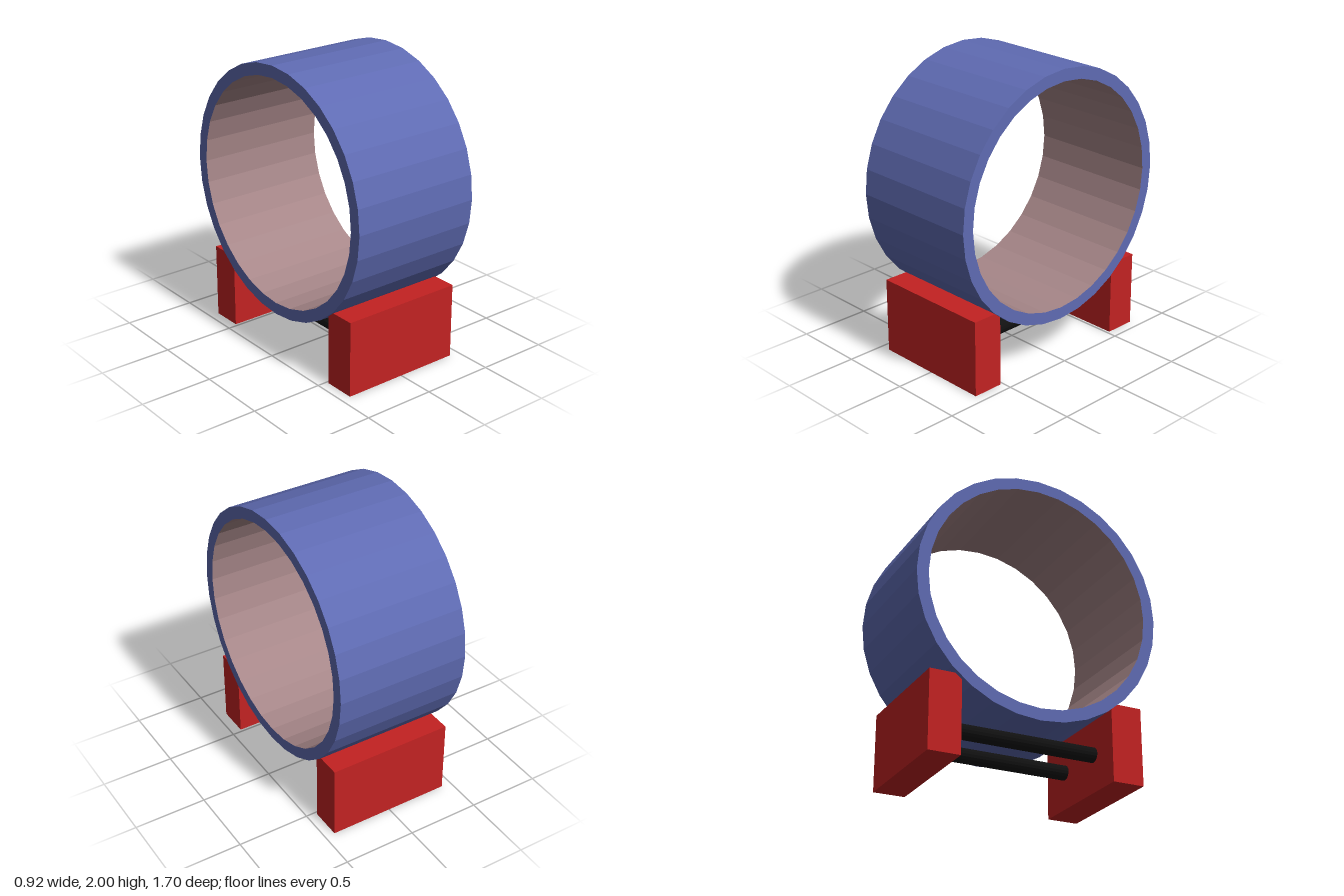
import * as THREE from 'three';

const OUTER = 0.85, INNER = 0.77, HALF_WIDTH = 0.46, SIDES = 32;

function material(color) {
  return new THREE.MeshStandardMaterial({ color, flatShading: true });
}

function addMesh(parent, name, geometry, mat, x, y, z) {
  const mesh = new THREE.Mesh(geometry, mat);
  mesh.name = name;
  mesh.position.set(x, y, z);
  parent.add(mesh);
  return mesh;
}

// Revolved surface from [radius, height] pairs
function lathe(points) {
  return new THREE.LatheGeometry(points.map(([r, h]) => new THREE.Vector2(r, h)), SIDES);
}

export function createModel() {
  const model = new THREE.Group();
  model.name = 'ringOnStand';
  const blue = material(0x5f6bb3);
  const lining = material(0xa78789);
  const red = material(0xc32222);
  const black = material(0x111111);

  // Ring lying on its side: outer wall with end rims, and a lining of another colour
  const ring = new THREE.Group();
  ring.name = 'ring';
  ring.position.y = 2 - OUTER;
  ring.rotation.z = Math.PI / 2;
  model.add(ring);
  addMesh(ring, 'ringShell', lathe([
    [INNER, -HALF_WIDTH], [OUTER, -HALF_WIDTH], [OUTER, HALF_WIDTH], [INNER, HALF_WIDTH],
  ]), blue, 0, 0, 0);
  addMesh(ring, 'ringLining', lathe([[INNER, HALF_WIDTH], [INNER, -HALF_WIDTH]]), lining, 0, 0, 0);

  // Support blocks at front and back, joined by two rods
  const block = new THREE.BoxGeometry(0.86, 0.52, 0.215);
  const rod = new THREE.CylinderGeometry(0.05, 0.05, 1.06, 16).rotateX(Math.PI / 2);
  for (const s of [1, -1]) {
    addMesh(model, s > 0 ? 'frontBlock' : 'backBlock', block, red, 0, 0.26, s * 0.6275);
    addMesh(model, s > 0 ? 'leftRod' : 'rightRod', rod, black, s * 0.19, 0.25, 0);
  }
  return model;
}
